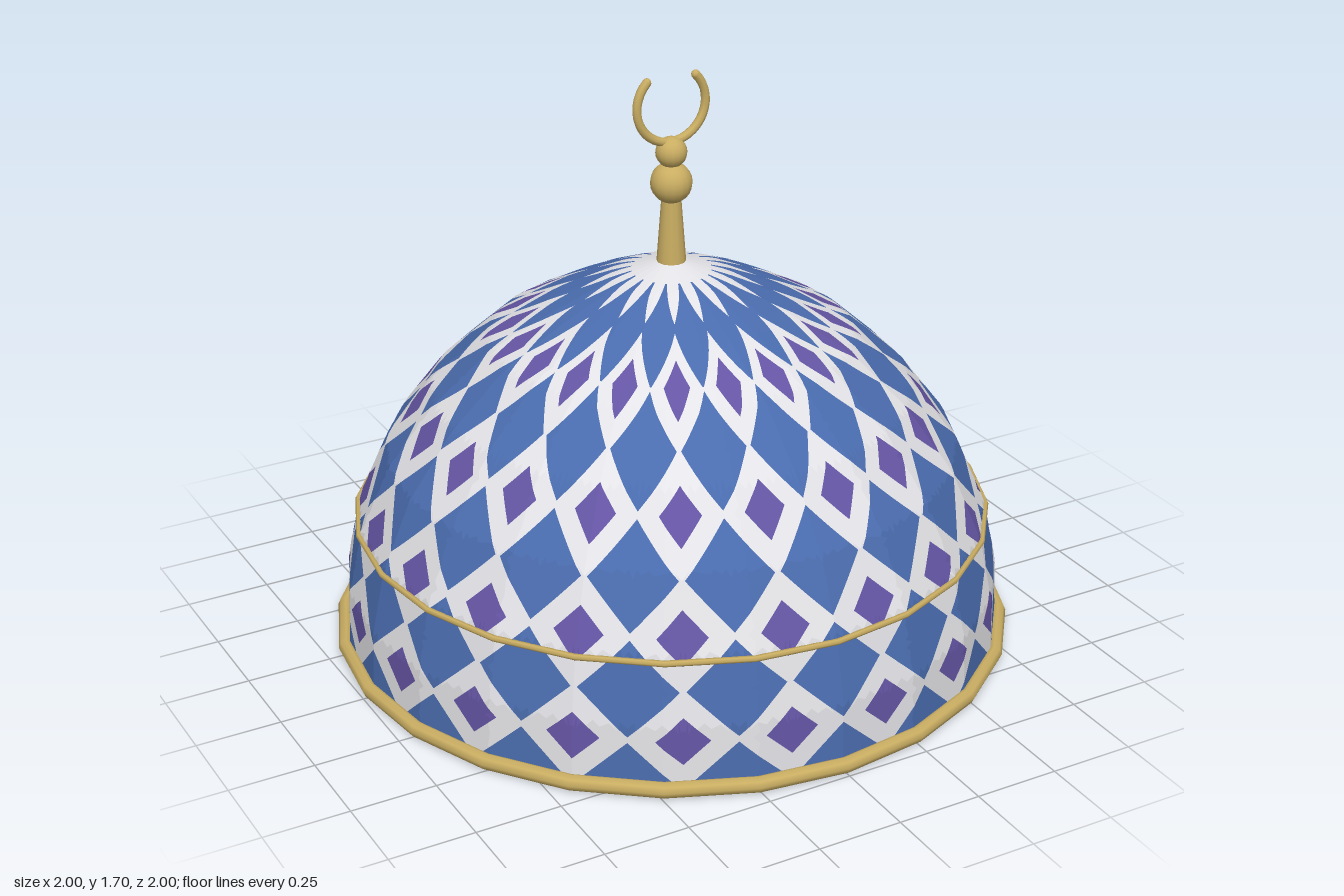
import * as THREE from 'three';

const mat = (name, color, side = THREE.FrontSide) => {
  const m = new THREE.MeshStandardMaterial({ color, side });
  m.name = name;
  return m;
};

const SIDES = 24;      // flat facets around the dome
const TILES = 20;      // diamonds around the dome
const STEP = (Math.PI * 2) / SIDES;
const HALF = Math.PI / TILES;

// Dome profile as [height, radius]
const PROFILE = [[0, 0.968], [0.2, 0.96], [0.39, 0.92], [0.595, 0.83], [0.775, 0.695],
  [0.925, 0.53], [1.03, 0.34], [1.11, 0.165], [1.16, 0]];
// Heights of the tile rows: blue centres and purple centres alternate
const ROWS = [0.02, 0.16, 0.30, 0.44, 0.58, 0.72, 0.85, 0.965, 1.055, 1.125];

function segmentAt(y) {
  let i = 0;
  while (i < PROFILE.length - 2 && y > PROFILE[i + 1][0]) i++;
  return [PROFILE[i], PROFILE[i + 1]];
}

// Point on the faceted dome
function domePoint(angle, y) {
  const [a, b] = segmentAt(y);
  const r = a[1] + (b[1] - a[1]) * (y - a[0]) / (b[0] - a[0]);
  const off = angle - (Math.floor(angle / STEP) + 0.5) * STEP;
  const rr = r * Math.cos(STEP / 2) / Math.cos(off);
  return [Math.sin(angle) * rr, y, Math.cos(angle) * rr];
}

// Normal of the facet that holds a point
function facetNormal(angle, y) {
  const [a, b] = segmentAt(y);
  const mid = (Math.floor(angle / STEP) + 0.5) * STEP;
  const dy = b[0] - a[0], dr = (a[1] - b[1]) * Math.cos(STEP / 2), len = Math.hypot(dy, dr);
  return [Math.sin(mid) * dy / len, dr / len, Math.cos(mid) * dy / len];
}

class Patch {
  constructor() { this.pos = []; this.nor = []; }
  // Each corner is [angle, height]; winding is turned to face outward
  tri(a, b, c) {
    const turn = (b[0] - a[0]) * (c[1] - a[1]) - (b[1] - a[1]) * (c[0] - a[0]);
    if (Math.abs(turn) < 1e-9) return;
    const n = facetNormal((a[0] + b[0] + c[0]) / 3, (a[1] + b[1] + c[1]) / 3);
    for (const p of turn > 0 ? [a, b, c] : [a, c, b]) {
      this.pos.push(...domePoint(p[0], p[1]));
      this.nor.push(...n);
    }
  }
  mesh(name, material) {
    const g = new THREE.BufferGeometry();
    g.setAttribute('position', new THREE.Float32BufferAttribute(this.pos, 3));
    g.setAttribute('normal', new THREE.Float32BufferAttribute(this.nor, 3));
    const m = new THREE.Mesh(g, material);
    m.name = name;
    return m;
  }
}

// Point on diagonal s (0 = blue centre, 2 = purple centre) of a quarter tile
function diagonal(s, t) {
  const from = s <= 1 ? [s, 0] : [1, s - 1];
  return [from[0] + (from[1] - from[0]) * t, from[1] + (from[0] - from[1]) * t];
}

function buildTiles(patches) {
  const CUTS = 6;
  for (let row = 0; row < ROWS.length - 1; row++) {
    const blueBelow = row % 2 === 0;
    const crown = row === ROWS.length - 2;
    const blueEnd = crown ? 1.15 : row === ROWS.length - 3 ? 1.03 : 0.94;
    const purpleStart = crown ? 2 : 1.5;
    const levels = [...new Set([0, 0.25, 0.5, 0.75, blueEnd, 1, 1.25, purpleStart, 1.75, 2])]
      .sort((a, b) => a - b);
    for (let k = 0; k < TILES; k++) for (const side of [-1, 1]) {
      const place = ([u, v]) => [
        (2 * k + side * u) * HALF,
        ROWS[row] + (ROWS[row + 1] - ROWS[row]) * (blueBelow ? v : 1 - v),
      ];
      for (let i = 0; i < levels.length - 1; i++) {
        const mid = (levels[i] + levels[i + 1]) / 2;
        const patch = mid < blueEnd ? patches.blue : mid > purpleStart ? patches.purple : patches.white;
        for (let j = 0; j < CUTS; j++) {
          const [a, b, c, d] = [[i, j], [i, j + 1], [i + 1, j + 1], [i + 1, j]]
            .map(([l, q]) => place(diagonal(levels[l], q / CUTS)));
          patch.tri(a, b, c);
          patch.tri(a, c, d);
        }
      }
    }
  }
  // Plain white cap above the last row
  const top = ROWS[ROWS.length - 1];
  for (let i = 0; i < SIDES; i++) {
    patches.white.tri([i * STEP, top], [(i + 0.9999) * STEP, top], [(i + 0.5) * STEP, 1.16]);
  }
}

export function createModel() {
  const model = new THREE.Group();
  model.name = 'tiledDome';
  const white = mat('white tile', 0xe4e4e8, THREE.DoubleSide);
  const blue = mat('blue tile', 0x4a6cae, THREE.DoubleSide);
  const purple = mat('purple tile', 0x6555a4, THREE.DoubleSide);
  const gold = mat('gold', 0xc9ad62);

  // Dome shell, split by tile colour
  const patches = { white: new Patch(), blue: new Patch(), purple: new Patch() };
  buildTiles(patches);
  model.add(patches.white.mesh('domeLattice', white));
  model.add(patches.blue.mesh('blueDiamonds', blue));
  model.add(patches.purple.mesh('purpleDiamonds', purple));

  const add = (name, geometry, y, parent = model) => {
    const m = new THREE.Mesh(geometry, gold);
    m.name = name;
    m.position.y = y;
    parent.add(m);
    return m;
  };

  // Gold bands
  add('baseRing', new THREE.TorusGeometry(0.977, 0.023, 8, SIDES), 0.023).rotation.x = Math.PI / 2;
  add('middleRing', new THREE.TorusGeometry(0.923, 0.009, 6, SIDES), 0.382).rotation.x = Math.PI / 2;

  // Finial
  const finial = new THREE.Group();
  finial.name = 'finial';
  model.add(finial);
  add('finialStem', new THREE.CylinderGeometry(0.028, 0.042, 0.19, 12), 1.245, finial);
  add('lowerBall', new THREE.SphereGeometry(0.06, 16, 12), 1.385, finial);
  add('upperBall', new THREE.SphereGeometry(0.045, 16, 12), 1.475, finial);
  const crescent = add('crescent', new THREE.TorusGeometry(0.108, 0.013, 8, 28, Math.PI * 1.5), 1.613, finial);
  crescent.rotation.z = Math.PI * 0.75;
  // Closed crescent tips
  for (const s of [-1, 1]) {
    const tip = add('crescentTip', new THREE.SphereGeometry(0.013, 8, 6), 1.613 + 0.0764, finial);
    tip.position.x = s * 0.0764;
  }
  return model;
}
